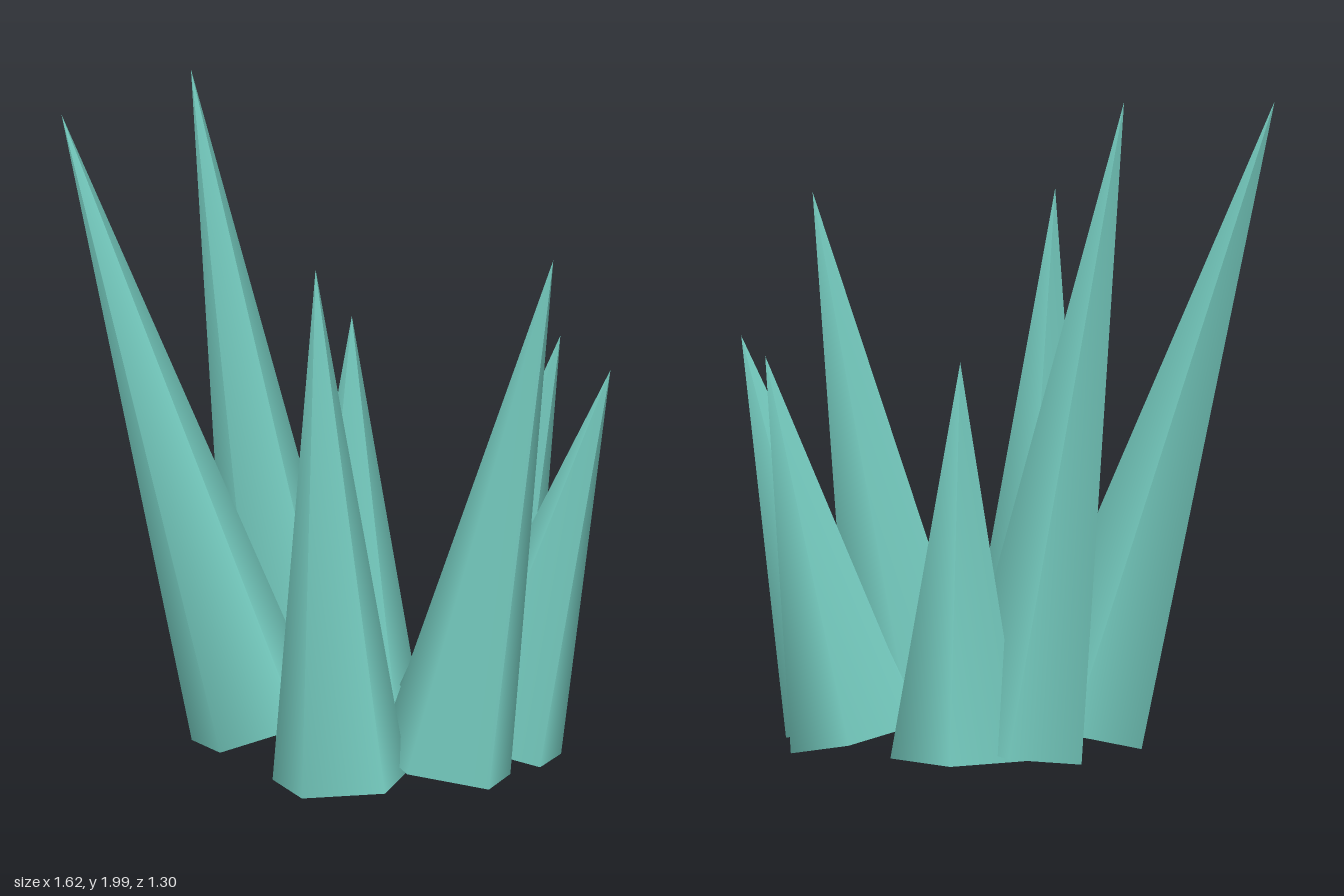
import * as THREE from 'three';

// Ring of leaning five-sided crystal spikes
const RADIUS = 0.21;

// base centre x, y; tip x, y; shared z
const SPIKES = [
  { name: 'leftTallSpike', base: [-0.23, 0.08], tip: [-0.81, 1.96], z: -0.02 },
  { name: 'backTallSpike', base: [-0.095, 0.055], tip: [-0.41, 2.0], z: -0.37 },
  { name: 'frontSpike', base: [-0.005, 0.04], tip: [-0.08, 1.61], z: 0.48 },
  { name: 'backShortSpike', base: [0.07, 0.04], tip: [0.07, 1.22], z: -0.44 },
  { name: 'rightBackSpike', base: [0.4, 0.07], tip: [0.68, 1.2], z: -0.26 },
  { name: 'rightShortSpike', base: [0.475, 0.065], tip: [0.81, 1.2], z: 0.14 },
  { name: 'rightFrontSpike', base: [0.31, 0.05], tip: [0.63, 1.6], z: 0.37 },
];

export function createModel() {
  const crystal = new THREE.MeshStandardMaterial({ color: 0x74cabe });
  crystal.name = 'teal crystal';

  const model = new THREE.Group();
  model.name = 'crystalCluster';

  for (const { name, base, tip, z } of SPIKES) {
    const dx = tip[0] - base[0];
    const dy = tip[1] - base[1];
    const height = Math.hypot(dx, dy);

    // Closed pentagonal cone, one corner to the back, pivoting at its base
    const geometry = new THREE.ConeGeometry(RADIUS, height, 5, 1, false, Math.PI);
    geometry.translate(0, height / 2, 0);

    const spike = new THREE.Mesh(geometry, crystal);
    spike.name = name;
    spike.position.set(base[0], base[1], z);
    spike.rotation.z = -Math.atan2(dx, dy);
    model.add(spike);
  }
  return model;
}
